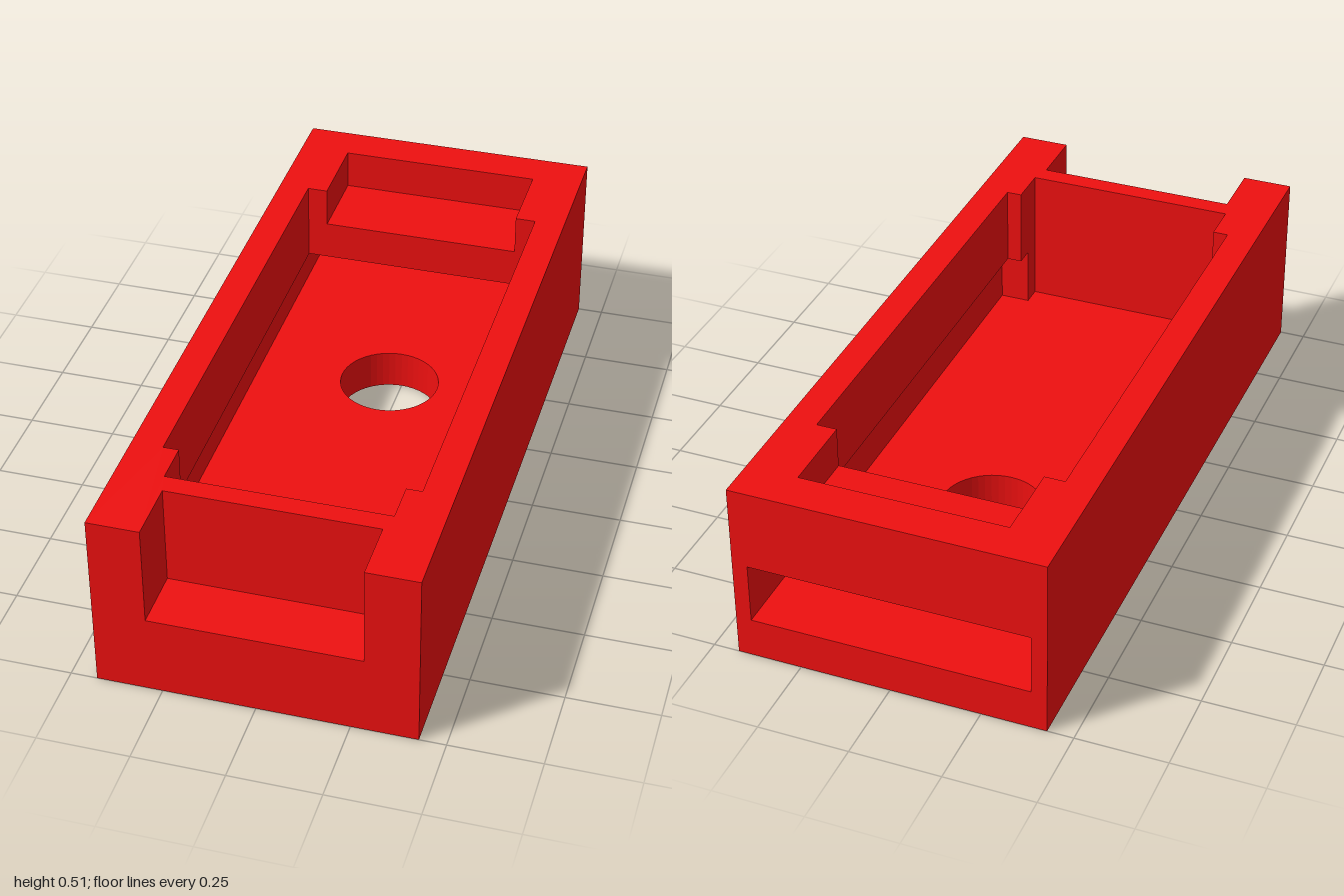
import * as THREE from 'three';

// Dimensions are in 1/35 units; the finished group is scaled to a length of 2.
const W = 15, H = 18, L = 35;
const material = new THREE.MeshStandardMaterial({ color: 0xee1010, side: THREE.DoubleSide });

const mirror = (pts) => pts.map(([x, z]) => [-x, z]).reverse();
const rect = (x, a, b) => [[-x, a], [x, a], [x, b], [-x, b]];

// Flat outline with optional holes, facing +z
function face(pts, holes = []) {
  const vec = (list) => list.map(([x, y]) => new THREE.Vector2(x, y));
  const shape = new THREE.Shape(vec(pts));
  holes.forEach((h) => shape.holes.push(new THREE.Path(vec(h))));
  return new THREE.ShapeGeometry(shape);
}

// Horizontal panel from (x, z) points, facing up (side = 1) or down (side = -1)
function level(y, side, pts, holes = []) {
  const flip = (list) => list.map(([x, z]) => [x, -side * z]);
  return face(flip(pts), holes.map(flip)).rotateX(-side * Math.PI / 2).translate(0, y, 0);
}

// Upright wall strip along (x, z) points
function wall(pts, y0, y1) {
  const pos = [];
  for (let i = 0; i < pts.length - 1; i++) {
    const [ax, az] = pts[i], [bx, bz] = pts[i + 1];
    pos.push(ax, y0, az, bx, y0, bz, bx, y1, bz, ax, y0, az, bx, y1, bz, ax, y1, az);
  }
  const g = new THREE.BufferGeometry();
  g.setAttribute('position', new THREE.Float32BufferAttribute(pos, 3));
  g.computeVertexNormals();
  return g;
}

export function createModel() {
  const group = new THREE.Group();
  const add = (name, ...geometries) => {
    const part = new THREE.Group();
    part.name = name;
    geometries.forEach((g) => part.add(new THREE.Mesh(g, material)));
    group.add(part);
  };

  // Plans of the recesses, right half mirrored where possible
  const cavitySide = [[10, -23], [12, -23], [12, 23], [10.5, 23], [10.5, 25]];
  const slotSide = [[13.5, -35], [13.5, 25], [10.5, 25]];
  const nook = [[10.5, 25], [10.5, 27], [-10.5, 27], [-10.5, 25]];
  const pocket = [[-10, -23], [-10, -31], [10, -31], [10, -23]];
  const notch = [[-10, L], [-10, 29], [10, 29], [10, L]];
  const opening = [...pocket, ...cavitySide.slice(1, 4), nook[1], nook[2], ...mirror(cavitySide.slice(1, 4))];
  const slotPlan = [...slotSide, nook[1], nook[2], ...mirror(slotSide)];
  const hole = [];
  for (let i = 0; i < 48; i++) {
    const t = i / 48 * Math.PI * 2;
    hole.push([5 * Math.cos(t), -11 + 5 * Math.sin(t)]);
  }

  // Outer shell
  add('bottom', level(0, -1, rect(W, -L, L), [hole]));
  add('topRim', level(H, 1, [[-W, -L], [W, -L], [W, L], ...[...notch].reverse(), [-W, L]], [opening]));
  add('frontPanel', face([[-W, 0], [W, 0], [W, H], [10, H], [10, 8], [-10, 8], [-10, H], [-W, H]]).translate(0, 0, L));
  add('backPanel', face(rect(W, 0, H), [rect(13.5, 4, 10)]).rotateY(Math.PI).translate(0, 0, -L));
  for (const s of [1, -1]) {
    add(s > 0 ? 'leftSide' : 'rightSide',
      new THREE.PlaneGeometry(2 * L, H).rotateY(s * Math.PI / 2).translate(s * W, H / 2, 0));
  }

  // Main cavity and its narrow front nook
  add('cavityWalls', wall(cavitySide, 10, H), wall(mirror(cavitySide), 10, H),
    wall([[-10, -23], [10, -23]], 10, 14));
  add('frontNook', wall(nook, 4, H));

  // Wide slot under the cavity, open at the back
  const ceiling = [[-13.5, -35], ...slotSide, [10.5, 23], [12, 23], [12, -23],
    [-12, -23], [-12, 23], [-10.5, 23], [-10.5, 25], [-13.5, 25]];
  add('slotWalls', wall(slotSide, 4, 10), wall(mirror(slotSide), 4, 10));
  add('slotCeiling', level(10, -1, ceiling));
  add('cavityFloor', level(4, 1, slotPlan, [hole]));
  add('floorHole', wall([...hole, hole[0]], 0, 4));

  // Shallow back pocket and open front notch
  add('backPocket', wall(pocket, 14, H), level(14, 1, pocket));
  add('frontNotch', wall(notch, 8, H), level(8, 1, notch));

  group.scale.setScalar(1 / L);
  return group;
}
